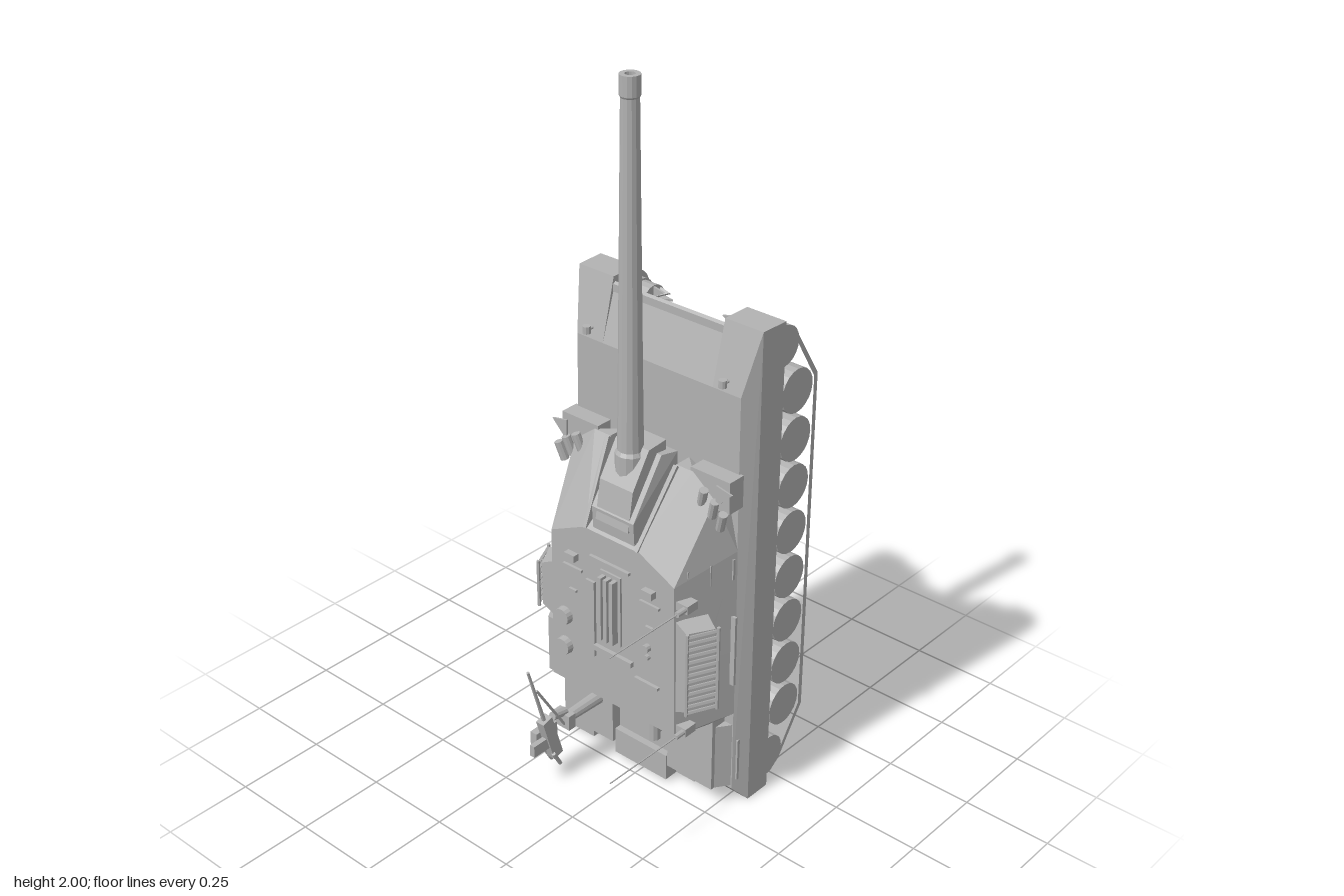
import * as THREE from 'three';
import { ConvexGeometry } from 'three/addons/geometries/ConvexGeometry.js';

// The vehicle stands on its tail: +y is its forward direction, +z its upper side.
export function createModel() {
  const model = new THREE.Group();
  model.name = 'tank';
  const grey = new THREE.MeshStandardMaterial({ color: 0xb2b2b2, flatShading: true });
  grey.name = 'plain grey';
  const V = (x, y, z) => new THREE.Vector3(x, y, z);

  function add(name, geometry, x = 0, y = 0, z = 0) {
    const m = new THREE.Mesh(geometry, grey);
    m.name = name;
    m.position.set(x, y, z);
    model.add(m);
    return m;
  }
  // Box given by its limits on each axis
  const box = (name, x0, x1, y0, y1, z0, z1) =>
    add(name, new THREE.BoxGeometry(Math.abs(x1 - x0), y1 - y0, z1 - z0), (x0 + x1) / 2, (y0 + y1) / 2, (z0 + z1) / 2);
  // Faceted solid around corner points
  const solid = (name, pts) => add(name, new ConvexGeometry(pts.map(p => V(...p))));
  // Same solid with every point repeated at -x
  const symSolid = (name, pts) => solid(name, pts.flatMap(([x, y, z]) => [[x, y, z], [-x, y, z]]));
  // Rod between two points
  function rod(name, a, b, r0, r1 = r0, sides = 10) {
    const p = V(...a), q = V(...b), d = q.clone().sub(p);
    const m = add(name, new THREE.CylinderGeometry(r1, r0, d.length(), sides));
    m.position.copy(p).add(q).multiplyScalar(0.5);
    m.quaternion.setFromUnitVectors(V(0, 1, 0), d.normalize());
    return m;
  }

  // Lower hull with sloped nose and tail
  symSolid('lowerHull', [
    [0.185, 0.03, -0.12], [0.185, 0.06, -0.2], [0.185, 0.2, -0.277],
    [0.185, 1.24, -0.277], [0.185, 1.385, -0.128], [0.185, 1.38, -0.12]]);
  // Upper hull with glacis
  symSolid('upperHull', [
    [0.19, 1.385, -0.128], [0.19, 0.03, -0.128], [0.265, 1.23, -0.08], [0.265, 0.05, -0.08],
    [0.29, 1.36, -0.128], [0.29, 0.05, -0.128]]);

  // Track outline as (y, z)
  const loop = (e) => [
    [1.385 - e, -0.19 - e], [1.375 - e, -0.235], [1.345 - e, -0.27 + e * 0.4], [1.2 - e * 0.4, -0.362 + e],
    [0.185 + e * 0.4, -0.362 + e], [0.05 + e, -0.27 + e * 0.4], [0.025 + e, -0.235], [0.02 + e, -0.19 - e]
  ].map(p => new THREE.Vector2(...p));
  const trackShape = new THREE.Shape(loop(0));
  trackShape.holes.push(new THREE.Path(loop(0.014)));
  const trackGeo = new THREE.ExtrudeGeometry(trackShape, { depth: 0.085, bevelEnabled: false });
  trackGeo.applyMatrix4(new THREE.Matrix4().makeBasis(V(0, 1, 0), V(0, 0, 1), V(1, 0, 0)));

  for (const s of [1, -1]) {
    // Fender and side skirt
    solid('fender', [
      [0.18, 0.005, -0.2], [0.3, 0.005, -0.2], [0.18, 1.4, -0.205], [0.3, 1.4, -0.205],
      [0.18, 0.005, -0.12], [0.3, 0.005, -0.12], [0.18, 1.4, -0.122], [0.297, 1.4, -0.122],
      [0.18, 1.23, -0.08], [0.268, 1.23, -0.08], [0.18, 0.05, -0.08], [0.275, 0.05, -0.08]
    ].map(([x, y, z]) => [x * s, y, z]));

    // Running gear
    add('track', trackGeo, s > 0 ? 0.2 : -0.285);
    const wheel = (name, y, z, r) => rod(name, [s * 0.203, y, z], [s * 0.282, y, z], r, r, 20);
    for (let i = 0; i < 8; i++) {
      const y = 0.22 + i * 0.1365;
      wheel('roadWheel', y, -0.286, 0.061);
      rod('suspensionArm', [s * 0.198, y, -0.286], [s * 0.198, y + 0.085, -0.225], 0.012);
      rod('wheelAxle', [s * 0.18, y, -0.286], [s * 0.21, y, -0.286], 0.014);
    }
    wheel('driveSprocket', 1.318, -0.228, 0.055);
    wheel('idlerWheel', 0.085, -0.228, 0.055);
    for (const y of [0.4, 0.8, 1.15]) rod('returnRoller', [s * 0.2, y, -0.222], [s * 0.27, y, -0.222], 0.018);

    // Final drive with radial ribs
    rod('finalDrive', [s * 0.13, 1.315, -0.218], [s * 0.175, 1.315, -0.218], 0.043, 0.043, 16);
    rod('finalDriveCollar', [s * 0.172, 1.315, -0.218], [s * 0.2, 1.315, -0.218], 0.048, 0.048, 16);
    for (let i = 0; i < 8; i++) {
      const a = i * Math.PI / 4, c = Math.cos(a), n = Math.sin(a);
      solid('driveRib', [-0.003, 0.003].flatMap(t => [[0.132, 0.01], [0.132, 0.04], [0.095, 0.032]]
        .map(([x, r]) => [s * x, 1.315 + c * r - n * t, -0.218 + n * r + c * t])));
    }

    // Towing shackles
    for (const [y, z] of [[1.275, -0.26], [0.13, -0.26]]) {
      add('towShackle', new THREE.TorusGeometry(0.013, 0.004, 6, 14), s * 0.083, y, z).rotation.x = Math.PI / 2;
      rod('shacklePin', [s * 0.083 - 0.016, y, z + 0.018], [s * 0.083 + 0.016, y, z + 0.018], 0.005);
    }

    // Headlights on the glacis
    rod('headlight', [s * 0.222, 1.25, -0.066], [s * 0.222, 1.27, -0.066], 0.011);
    rod('headlightStalk', [s * 0.222, 1.258, -0.09], [s * 0.222, 1.258, -0.066], 0.004);

    // Shoulder blocks and smoke tubes ahead of the turret
    box('shoulderBlock', s * 0.155, s * 0.28, 0.93, 1.02, -0.085, -0.032);
    for (const [x, y] of [[0.2, 0.985], [0.235, 0.965], [0.262, 0.94]])
      rod('smokeTube', [s * x, y - 0.05, -0.02], [s * (x + 0.015), y, -0.012], 0.012);
    solid('shoulderFin', [[0.25, 0.95, -0.02], [0.3, 1.0, -0.02], [0.25, 1.01, -0.02],
      [0.25, 0.95, -0.015], [0.3, 1.0, -0.015], [0.25, 1.01, -0.015]].map(([x, y, z]) => [s * x, y, z]));

    // Turret cheek
    solid('turretCheek', [
      [0.085, 0.5, 0.09], [0.21, 0.5, 0.09], [0.21, 0.745, 0.09], [0.085, 0.805, 0.09],
      [0.08, 0.5, -0.08], [0.275, 0.5, -0.08], [0.272, 0.8, -0.08], [0.235, 0.955, -0.08],
      [0.11, 1.01, -0.08], [0.11, 1.01, -0.03], [0.165, 1.01, -0.03], [0.235, 0.955, -0.03]
    ].map(([x, y, z]) => [s * x, y, z]));
    // Raised strip beside the gun opening
    solid('cheekStrip', [0, 0.008].flatMap(h => [
      [0.082, 0.805, 0.088 + h], [0.092, 0.802, 0.088 + h],
      [0.108, 1.005 + h, -0.03 + h], [0.12, 1.005 + h, -0.03 + h]]).map(([x, y, z]) => [s * x, y, z]));

    // Slatted stowage basket leaning along the turret side
    const y0 = s > 0 ? 0.365 : 0.475, y1 = 0.645;
    const lean = (p) => p.map(([x, y, z]) => [s * x, y, z]);
    solid('stowageBasket', lean([y0, y1].flatMap((y, i) => [[0.21, y, 0.085], [0.25, y, 0.005],
      [0.25, y + (i ? -0.02 : 0.02), 0.088], [0.288, y + (i ? -0.02 : 0.02), 0.02]])));
    const n = s > 0 ? 13 : 8;
    for (let i = 0; i < n; i++) {
      const y = y0 + 0.024 + i * (y1 - y0 - 0.048) / (n - 1);
      rod('basketSlat', [s * 0.258, y, 0.094], [s * 0.295, y, 0.016], 0.005, 0.005, 4);
    }
    for (const [x, z] of [[0.258, 0.094], [0.295, 0.016]])
      rod('basketRail', [s * x, y0 + 0.015, z], [s * x, y1 - 0.015, z], 0.005, 0.005, 6);

    // Side vision slots and grab rail
    for (const z of [0.05, -0.01, -0.07]) box('sideSlot', s * 0.21, s * (0.235 - z * 0.4 + 0.008), 0.72, 0.78, z - 0.004, z + 0.004);
    box('grabRail', s * 0.25, s * 0.283, 0.4, 0.61, -0.073, -0.065);
    box('rearBracket', s * 0.25, s * 0.285, 0.08, 0.21, -0.098, -0.088);

    // Roof periscopes
    box('periscope', s * 0.115, s * 0.15, 0.69, 0.71, 0.088, 0.108);
    box('periscopeStrip', s * 0.1, s * 0.165, 0.66, 0.667, 0.088, 0.098);
    box('roofClip', s * 0.12, s * 0.145, 0.59, 0.597, 0.088, 0.098);
  }

  // Turret body with recessed middle, then mantlet
  symSolid('turretBody', [
    [0.215, 0.29, 0.09], [0.21, 0.74, 0.09], [0.085, 0.8, 0.09],
    [0.235, 0.275, -0.025], [0.275, 0.3, -0.08], [0.272, 0.79, -0.08], [0.1, 0.9, -0.08]]);
  symSolid('mantlet', [
    [0.07, 0.76, 0.078], [0.07, 0.87, 0.085], [0.07, 0.8, -0.08], [0.08, 1.02, -0.07], [0.07, 1.025, -0.02]]);
  symSolid('gunCradle', [
    [0.055, 0.84, 0.088], [0.055, 0.95, 0.07], [0.055, 1.045, 0.01], [0.055, 1.05, -0.055], [0.055, 0.85, -0.055]]);

  // Gun barrel with hollow muzzle
  const profile = [[0.04, 0.95], [0.04, 1.025], [0.034, 1.035], [0.032, 1.15], [0.023, 1.945], [0.026, 1.95],
    [0.026, 2], [0.013, 2], [0.013, 1.9], [0, 1.9]].map(p => new THREE.Vector2(...p));
  add('gunBarrel', new THREE.LatheGeometry(profile, 14), 0, 0, 0.017);

  // Roof fittings
  box('sightBase', -0.035, 0.035, 0.49, 0.7, 0.088, 0.096);
  for (const x of [-0.02, 0, 0.02]) box('sightRail', x - 0.006, x + 0.006, 0.5, 0.69, 0.09, 0.117);
  box('roofStripLeft', -0.085, -0.055, 0.42, 0.65, 0.088, 0.098);
  box('roofStripFront', -0.07, 0.065, 0.722, 0.73, 0.088, 0.1);
  box('roofStripRear', -0.055, 0.075, 0.445, 0.46, 0.088, 0.102);
  box('roofStripSide', 0.085, 0.165, 0.415, 0.423, 0.088, 0.1);
  for (const y of [0.405, 0.5]) rod('roofHatch', [-0.165, y, 0.08], [-0.165, y, 0.108], 0.027, 0.024, 16);
  rod('roofVent', [0.125, 0.53, 0.08], [0.125, 0.53, 0.105], 0.011);
  rod('roofKnob', [0.125, 0.5, 0.08], [0.125, 0.5, 0.1], 0.008);

  // Antennas on the left edge
  for (const y of [0.315, 0.693]) {
    box('antennaBase', 0.2, 0.25, y - 0.012, y + 0.012, 0.045, 0.085);
    rod('antennaSocket', [0.24, y, 0.05], [0.24, y, 0.115], 0.008);
    rod('antenna', [0.24, y, 0.1], [0.24, y, 0.362], 0.0022, 0.0016, 6);
  }

  // Rear stowage box on the right turret side
  solid('sideBox', [0.29, 0.46].flatMap(y => [[-0.2, y, 0.085], [-0.235, y, 0.085], [-0.285, y, 0.0], [-0.24, y, -0.02]]));

  // Engine deck and tail boxes
  box('rearDeckLeft', 0.09, 0.245, 0.06, 0.3, -0.1, -0.03);
  box('rearDeckCentre', -0.095, 0.09, 0.09, 0.3, -0.1, -0.045);
  box('rearDeckRight', -0.19, -0.1, 0.05, 0.3, -0.1, -0.02);
  box('rearDeckEdge', -0.3, -0.19, 0.01, 0.26, -0.1, -0.04);
  box('tailBox', -0.095, 0.09, 0.015, 0.095, -0.12, -0.025);
  solid('deckSlope', [0.06, 0.26].flatMap(y => [[0.24, y, -0.035], [0.24, y, -0.1], [0.285, y, -0.1]]));
  box('tailStep', 0.1, 0.165, 0.03, 0.062, -0.08, -0.055);
  box('turretRearBar', -0.08, 0.06, 0.245, 0.29, 0.0, 0.02);
  rod('rearLamp', [0.125, 0.25, -0.03], [0.125, 0.25, 0.07], 0.012);
  rod('rearLampHead', [0.125, 0.23, 0.065], [0.125, 0.29, 0.065], 0.018);

  // Machine gun on a post
  const gx = -0.155;
  rod('gunPost', [gx, 0.175, -0.03], [gx, 0.175, 0.115], 0.02, 0.016, 12);
  box('gunPostCollar', gx - 0.028, gx + 0.028, 0.155, 0.2, 0.1, 0.125);
  rod('machineGunArm', [gx, 0.2, 0.11], [gx, 0.21, 0.16], 0.012);
  const body = box('machineGunBody', gx - 0.014, gx + 0.014, 0.08, 0.22, 0.155, 0.19);
  body.rotation.x = 0.28;
  rod('machineGunBarrel', [gx, 0.2, 0.188], [gx, 0.4, 0.247], 0.006, 0.004, 8);
  rod('machineGunStrut', [gx + 0.01, 0.17, 0.125], [gx + 0.005, 0.33, 0.222], 0.004, 0.004, 6);
  box('ammunitionBox', gx - 0.035, gx - 0.012, 0.11, 0.17, 0.13, 0.21);
  box('gunSight', gx - 0.008, gx + 0.008, 0.12, 0.155, 0.18, 0.24);
  for (const s of [1, -1]) rod('gunGrip', [gx + s * 0.016, 0.1, 0.175], [gx + s * 0.016, 0.055, 0.15], 0.006, 0.006, 6);
  return model;
}
